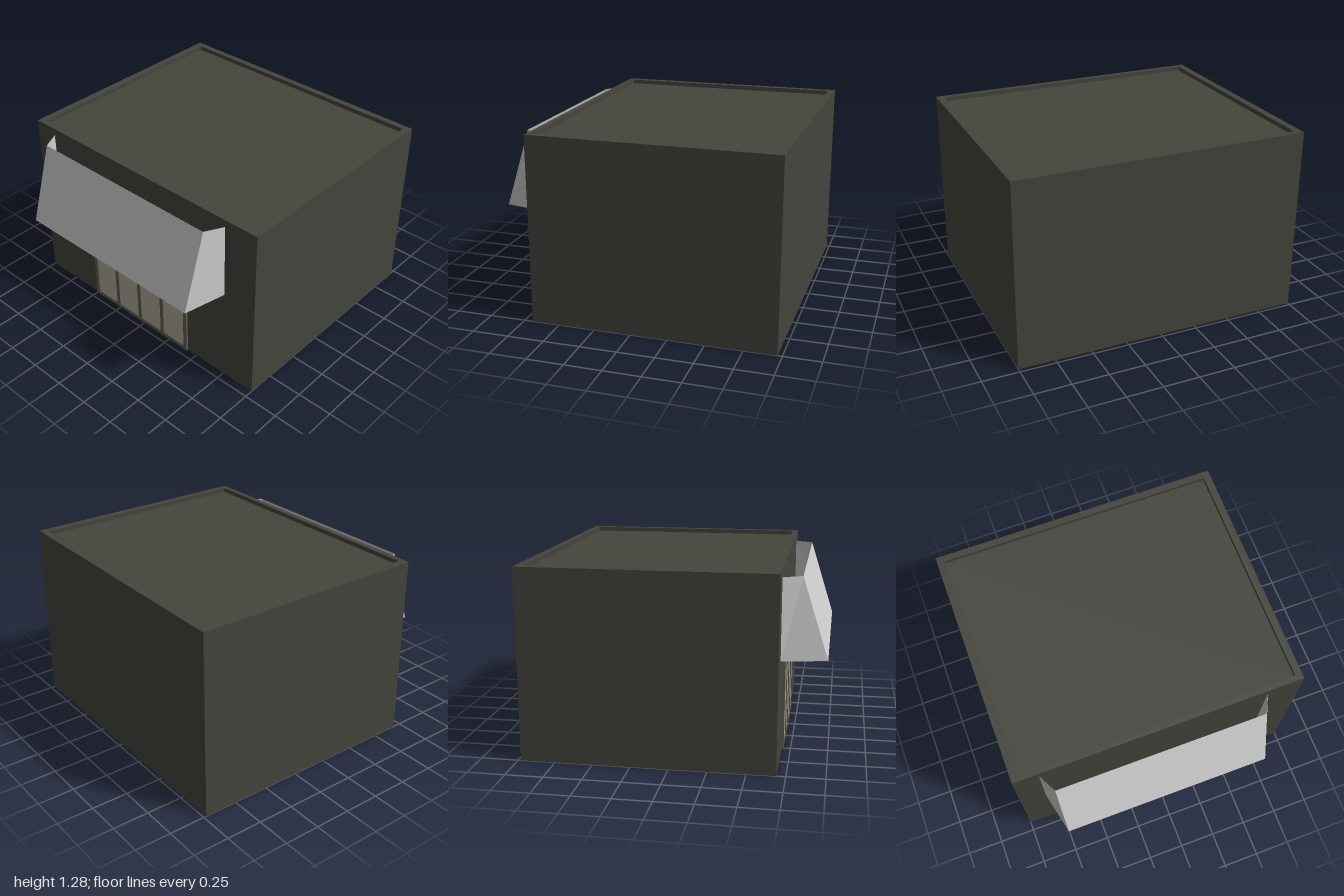
import * as THREE from 'three';

const material = (name, color, side = THREE.FrontSide) => {
  const m = new THREE.MeshStandardMaterial({ color, side });
  m.name = name;
  return m;
};

// Flat-shaded surface from quads, each listed counter-clockwise from outside
function quads(list) {
  const points = [];
  for (const [a, b, c, d] of list) points.push(...a, ...b, ...c, ...a, ...c, ...d);
  const geometry = new THREE.BufferGeometry();
  geometry.setAttribute('position', new THREE.Float32BufferAttribute(points, 3));
  geometry.computeVertexNormals();
  return geometry;
}

export function createModel() {
  const root = new THREE.Group();
  root.name = 'building';
  const wallMat = material('dark wall', 0x45453e, THREE.DoubleSide);
  const awningMat = material('awning grey', 0xcfcfcf, THREE.DoubleSide);
  const frameMat = material('door frame olive', 0x625f50);
  const panelMat = material('door panel beige', 0xb0ad9a);

  const add = (parent, name, geometry, mat) => {
    const mesh = new THREE.Mesh(geometry, mat);
    mesh.name = name;
    parent.add(mesh);
    return mesh;
  };

  // Shell: open underneath, slightly skewed +x wall, parapet around a sunken roof
  const outer = [[-0.69, 1], [0.97, 1], [0.98, -1], [-0.69, -1]];
  const inner = [[-0.65, 0.95], [0.925, 0.95], [0.935, -0.95], [-0.65, -0.95]];
  const ring = (plan, y) => plan.map(([x, z]) => [x, y, z]);
  const band = (low, high) => low.map((p, i) => {
    const j = (i + 1) % low.length;
    return [p, low[j], high[j], high[i]];
  });
  const top = 1.285, roofY = 1.255;
  add(root, 'walls', quads(band(ring(outer, 0), ring(outer, top))), wallMat);
  add(root, 'parapet', quads([
    ...band(ring(outer, top), ring(inner, top)),
    ...band(ring(inner, top), ring(inner, roofY)),
  ]), wallMat);
  add(root, 'roof', quads([ring(outer, roofY)]), wallMat);

  // Awning: sloping front and two splayed cheeks, open above and below
  const low = 0.697, high = 1.235;
  const profile = (zWall, zFront) => [
    [-0.69, low, zWall], [-0.985, low, zFront], [-0.815, high, zFront], [-0.69, high, zWall],
  ];
  const back = profile(-0.825, -0.76), front = profile(0.75, 0.685);
  const awning = new THREE.Group();
  awning.name = 'awning';
  root.add(awning);
  add(awning, 'awningFront', quads([[back[1], front[1], front[2], back[2]]]), awningMat);
  add(awning, 'awningBackCheek', quads([[back[0], back[1], back[2], back[3]]]), awningMat);
  add(awning, 'awningFrontCheek', quads([[front[1], front[0], front[3], front[2]]]), awningMat);

  // Folding door showing on both faces of the thin wall
  const door = new THREE.Group();
  door.name = 'door';
  root.add(door);
  const z0 = -0.5, width = 0.92, height = 0.69, bar = 0.03, count = 4;
  const slab = (name, mat, depth, y, z, h, w) =>
    add(door, name, new THREE.BoxGeometry(depth, h, w), mat).position.set(-0.69, y, z);
  const pitch = (width - bar) / count;
  for (let i = 0; i <= count; i++) {
    const z = z0 + bar / 2 + i * pitch;
    slab('doorPost', frameMat, 0.026, height / 2, z, height, bar);
    if (i < count) slab('doorPanel', panelMat, 0.014, height / 2, z + pitch / 2, height - 2 * bar, pitch - bar);
  }
  for (const y of [bar / 2, height - bar / 2]) {
    slab('doorRail', frameMat, 0.024, y, z0 + width / 2, bar, width - bar);
  }
  return root;
}
